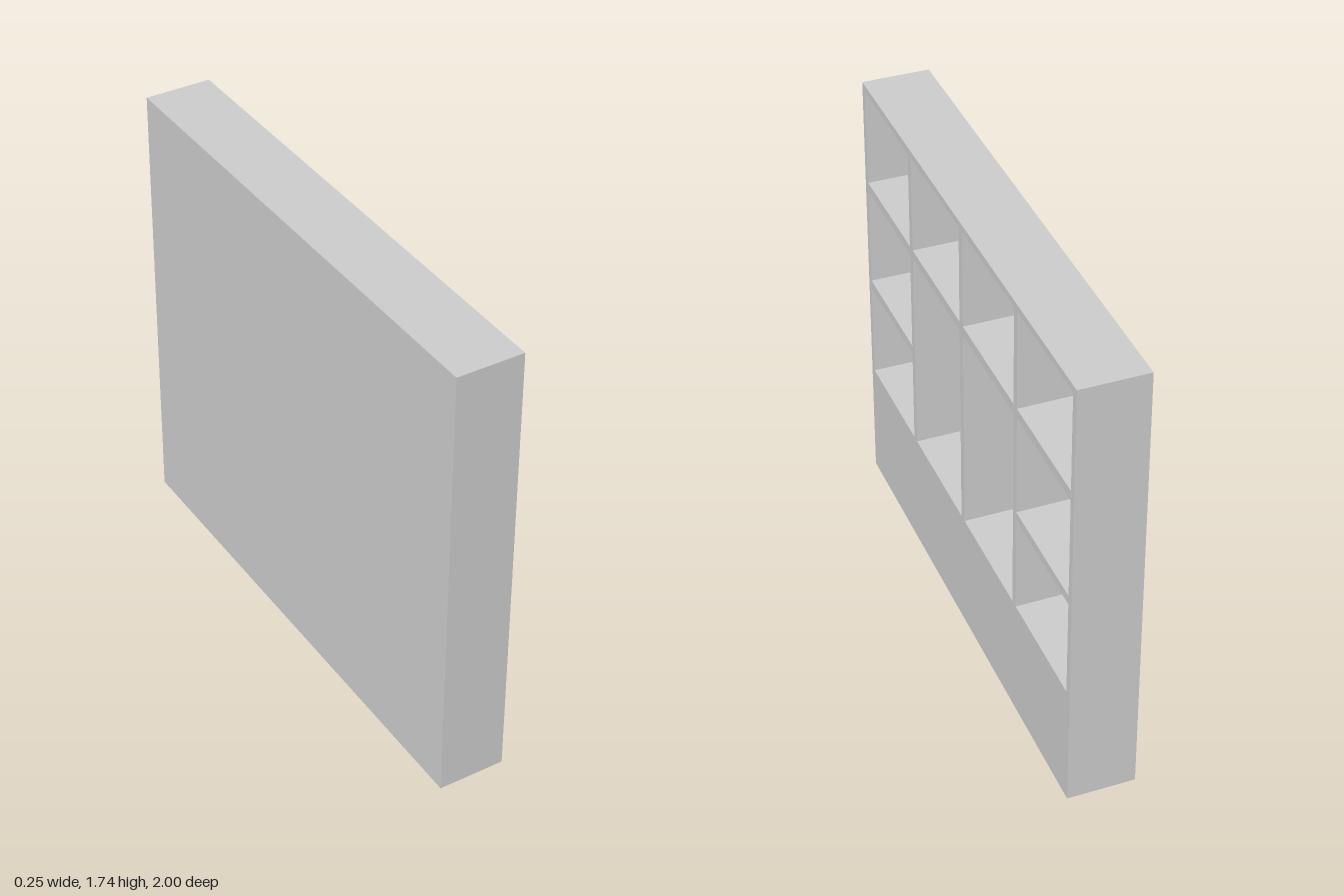
import * as THREE from 'three';

const HEIGHT = 1.74, DEPTH = 0.254, RECESS = 0.22;
const BACK = DEPTH - RECESS;

// Compartment edges: columns as [left, right] seen from the open side, rows as [bottom, top]
const outerColumns = [[-0.973, -0.517], [0.515, 0.973]];
const innerColumns = [[-0.488, -0.016], [0.016, 0.485]];
const topRow = [1.331, 1.714], middleRow = [0.897, 1.294], lowRow = [0.477, 0.862];
const tallRow = [lowRow[0], middleRow[1]];

function rectangle(PathType, [x0, x1], [y0, y1]) {
  return new PathType([[x0, y0], [x1, y0], [x1, y1], [x0, y1]].map(([x, y]) => new THREE.Vector2(x, y)));
}

export function createModel() {
  const group = new THREE.Group();
  group.name = 'cubbyShelf';
  const material = new THREE.MeshStandardMaterial({ color: 0xcccccc });

  // Frame: outer sides, dividers and solid base, with the compartments cut through
  const face = rectangle(THREE.Shape, [-1, 1], [0, HEIGHT]);
  const cut = (column, row) => face.holes.push(rectangle(THREE.Path, column, row));
  for (const column of outerColumns) for (const row of [topRow, middleRow, lowRow]) cut(column, row);
  for (const column of innerColumns) for (const row of [topRow, tallRow]) cut(column, row);

  const frameGeometry = new THREE.ExtrudeGeometry(face, { depth: RECESS, bevelEnabled: false });
  frameGeometry.rotateY(Math.PI / 2); // the open side faces +x
  const frame = new THREE.Mesh(frameGeometry, material);
  frame.name = 'shelfFrame';
  frame.position.x = DEPTH / 2 - RECESS;
  group.add(frame);

  // Back panel closing every compartment
  const back = new THREE.Mesh(new THREE.BoxGeometry(BACK, HEIGHT, 2), material);
  back.name = 'backPanel';
  back.position.set(-DEPTH / 2 + BACK / 2, HEIGHT / 2, 0);
  group.add(back);

  return group;
}
